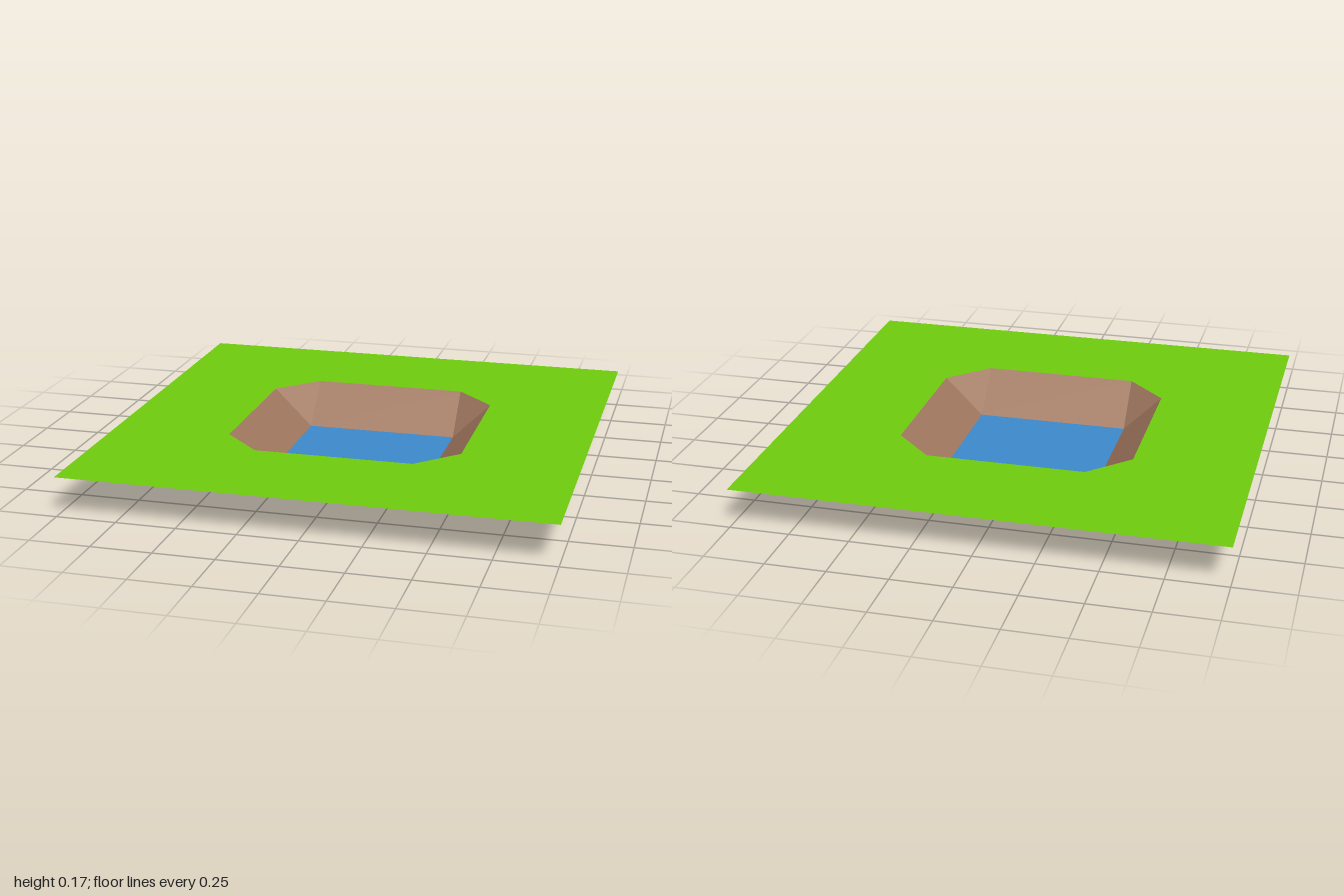
import * as THREE from 'three';

const RIM = 0.5;      // half width of the rim
const FLOOR = 1 / 3;  // half width of the water
const H = 1 / 6;      // ground height

const mat = (name, color) => {
  const m = new THREE.MeshStandardMaterial({ color, side: THREE.DoubleSide });
  m.name = name;
  return m;
};

export function createModel() {
  const grass = mat('grass green', 0x6fcb0e);
  const earth = mat('earth brown', 0xa1785f);
  const water = mat('water blue', 0x3b88cb);

  const model = new THREE.Group();
  model.name = 'pond';
  const add = (name, geometry, material, parent = model) => {
    const mesh = new THREE.Mesh(geometry, material);
    mesh.name = name;
    parent.add(mesh);
    return mesh;
  };

  // Flat ground with an eight-sided opening
  const square = [[-1, -1], [1, -1], [1, 1], [-1, 1]];
  const shape = new THREE.Shape(square.map(([x, y]) => new THREE.Vector2(x, y)));
  const rim = square.flatMap(([x, y]) => {
    const a = new THREE.Vector2(x * FLOOR, y * RIM);
    const b = new THREE.Vector2(x * RIM, y * FLOOR);
    return x * y > 0 ? [b, a] : [a, b];
  });
  shape.holes.push(new THREE.Path(rim));
  add('ground', new THREE.ShapeGeometry(shape).rotateX(-Math.PI / 2).translate(0, H, 0), grass);

  // Square water surface at the bottom
  add('water', new THREE.PlaneGeometry(2 * FLOOR, 2 * FLOOR).rotateX(-Math.PI / 2), water);

  // Sloping bank and triangular corner, repeated on each side
  const a = [-FLOOR, H, RIM], b = [FLOOR, H, RIM], e = [RIM, H, FLOOR];
  const c = [FLOOR, 0, FLOOR], d = [-FLOOR, 0, FLOOR];
  const facets = (...points) => {
    const g = new THREE.BufferGeometry();
    g.setAttribute('position', new THREE.Float32BufferAttribute(points.flat(), 3));
    g.computeVertexNormals();
    return g;
  };
  const bank = facets(a, b, c, a, c, d);
  const corner = facets(b, e, c);
  ['front', 'left', 'back', 'right'].forEach((side, i) => {
    const group = new THREE.Group();
    group.name = side + 'Bank';
    group.rotation.y = i * Math.PI / 2;
    add('slope', bank, earth, group);
    add('corner', corner, earth, group);
    model.add(group);
  });

  return model;
}
